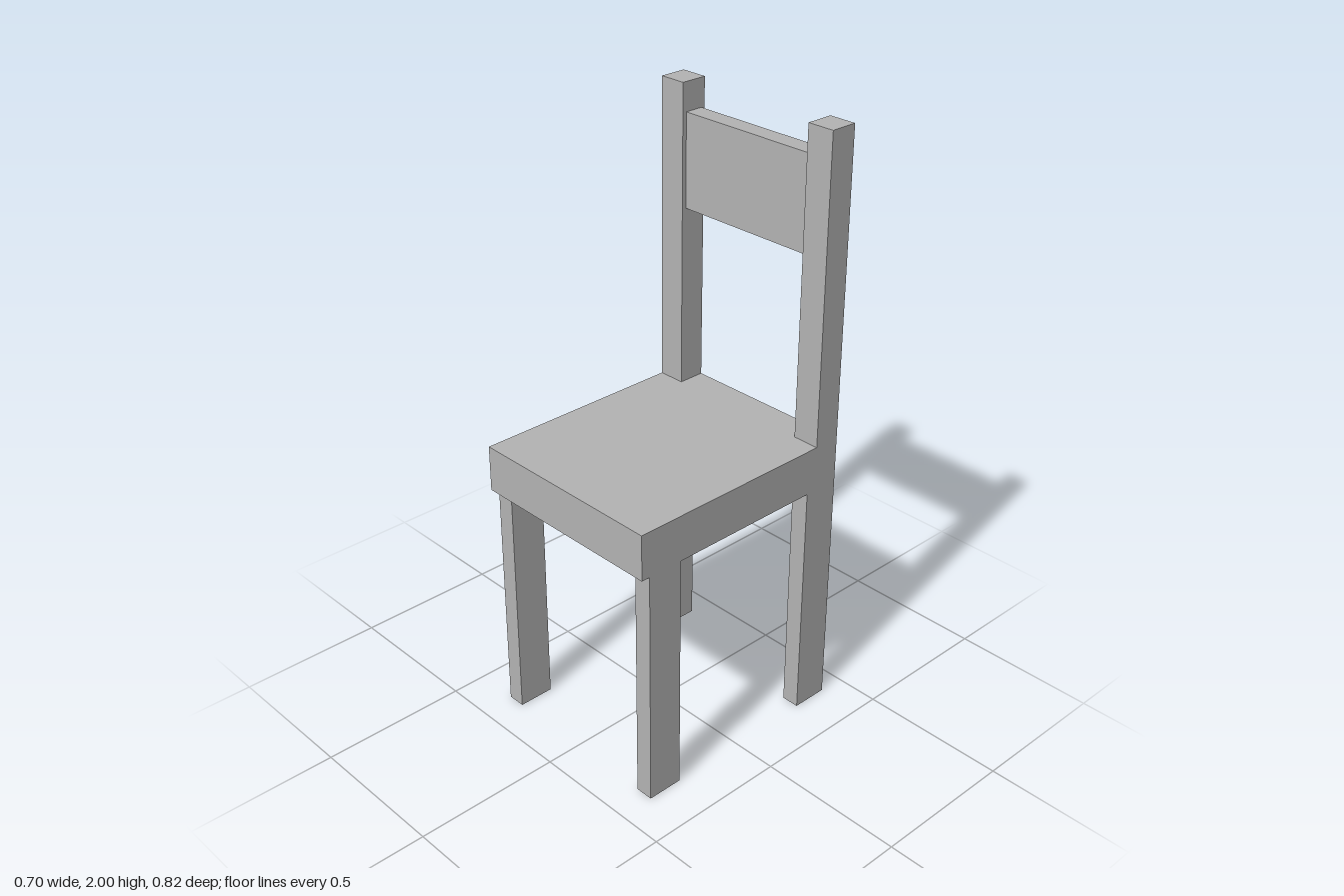
import * as THREE from 'three';

export function createModel() {
  const chair = new THREE.Group();
  chair.name = 'chair';

  const grey = new THREE.MeshStandardMaterial({ color: 0xb3b3b3 });
  grey.name = 'grey';

  // Box given by its limits on each axis
  function block(name, [x0, x1], [y0, y1], [z0, z1]) {
    const mesh = new THREE.Mesh(new THREE.BoxGeometry(x1 - x0, y1 - y0, z1 - z0), grey);
    mesh.position.set((x0 + x1) / 2, (y0 + y1) / 2, (z0 + z1) / 2);
    mesh.name = name;
    chair.add(mesh);
  }

  const halfWidth = 0.348, depth = 0.412;
  const seatBottom = 0.83, seatTop = 0.985;

  block('seat', [-halfWidth, halfWidth], [seatBottom, seatTop], [-depth, depth]);

  // Legs and back posts, mirrored left and right
  for (const [side, s] of [['left', 1], ['right', -1]]) {
    const span = (inner) => (s > 0 ? [inner, halfWidth] : [-halfWidth, -inner]);
    block(side + 'FrontLeg', span(0.287), [0, seatBottom], [0.258, 0.382]);
    block(side + 'BackLeg', span(0.287), [0, seatBottom], [-depth, -0.286]);
    block(side + 'BackPost', span(0.255), [seatTop, 2], [-depth, -0.32]);
  }

  // Backrest panel between the posts
  block('backrest', [-0.255, 0.255], [1.593, 1.905], [-0.399, -0.335]);

  return chair;
}
